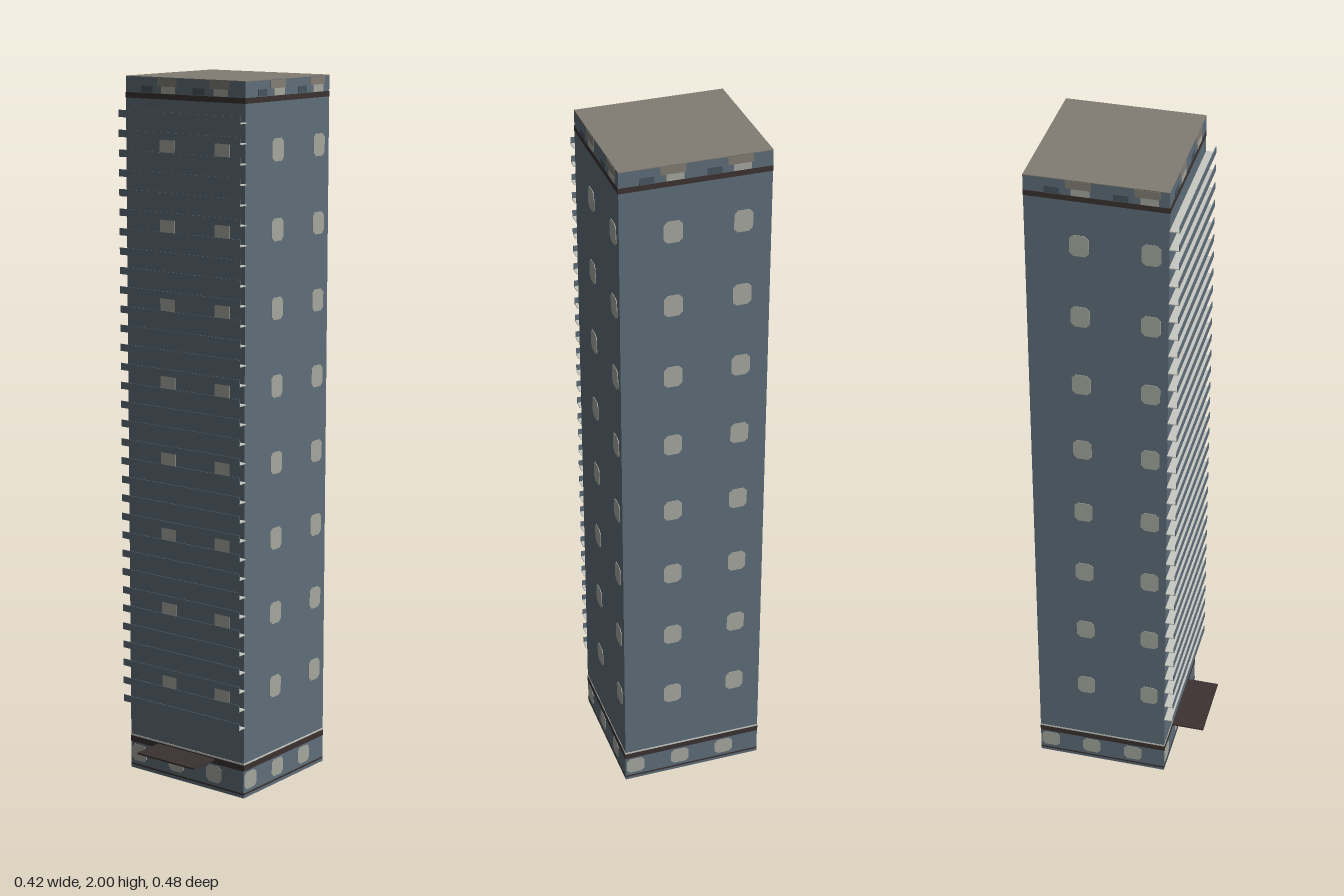
import * as THREE from 'three';

const paint = (name, color) => {
  const m = new THREE.MeshStandardMaterial({ color });
  m.name = name;
  return m;
};

export function createModel() {
  const blue = paint('wall blue', 0x5f6e79);
  const navy = paint('dark slate', 0x46545f);
  const glass = paint('pale window', 0xa5a79e);
  const stone = paint('roof stone', 0x827d73);
  const brown = paint('dark brown', 0x3b3231);
  const pale = paint('pale concrete', 0xc8c9c2);

  const W = 0.412, D = 0.382, GROUND = 0.1;
  const tower = new THREE.Group();
  tower.name = 'tower';
  tower.position.set(-0.001, 0, -0.048);

  const box = (parent, name, mat, w, h, d, x, y, z) => {
    const mesh = new THREE.Mesh(new THREE.BoxGeometry(w, h, d), mat);
    mesh.name = name;
    mesh.position.set(x, y, z);
    parent.add(mesh);
    return mesh;
  };

  // Thin window plate with clipped corners, centred on its own origin
  const windowPlate = (w, h, depth) => {
    const a = w / 2, b = h / 2, c = Math.min(w, h) * 0.2;
    const shape = new THREE.Shape([
      [-a + c, -b], [a - c, -b], [a, -b + c], [a, b - c],
      [a - c, b], [-a + c, b], [-a, b - c], [-a, -b + c],
    ].map(p => new THREE.Vector2(...p)));
    const g = new THREE.ExtrudeGeometry(shape, { depth, bevelEnabled: false });
    return g.translate(0, 0, -depth / 2);
  };
  const upperWindow = windowPlate(0.052, 0.062, 0.003);
  const groundWindow = windowPlate(0.055, 0.05, 0.007);
  const addWindow = (parent, name, geo, x, y, z) => {
    const mesh = new THREE.Mesh(geo, glass);
    mesh.name = name;
    mesh.position.set(x, y, z);
    parent.add(mesh);
  };

  // Shaft and roof
  box(tower, 'shaft', blue, W, 1.998 - GROUND, D, 0, (1.998 + GROUND) / 2, 0);
  box(tower, 'roof', stone, W, 0.002, D, 0, 1.999, 0);

  // Four facades, each built facing +z and turned into place
  ['front', 'right', 'back', 'left'].forEach((label, i) => {
    const width = i % 2 ? D : W, off = (i % 2 ? W : D) / 2;
    const side = new THREE.Group();
    side.name = label + 'Facade';
    side.rotation.y = i * Math.PI / 2;
    tower.add(side);

    // Open-bottomed ground floor with its trim bands
    box(side, 'groundWall', blue, width, GROUND, 0.005, 0, GROUND / 2, off - 0.0025);
    box(side, 'groundBand', brown, width, 0.018, 0.007, 0, 0.089, off - 0.0025);
    box(side, 'groundLedge', pale, width, 0.005, 0.002, 0, 0.1005, off);
    box(side, 'baseLine', brown, width, 0.005, 0.007, 0, 0.012, off - 0.0025);
    for (let k = 0; k < 3; k++)
      addWindow(side, 'groundWindow', groundWindow,
        -width / 2 + 0.031 + k * width / 3, 0.049, off - 0.0025);

    // Upper windows, one pair every four floors
    for (let row = 0; row < 8; row++)
      for (const u of [0.145, 0.335])
        addWindow(side, 'window', upperWindow, u - width / 2, 0.295 + row * 0.2165, off);

    // Crown: dark band with a patchwork of panels above it
    box(side, 'crownBand', brown, width, 0.015, 0.002, 0, 1.948, off);
    for (const u of [0.145, 0.325]) {
      const x = u - width / 2;
      box(side, 'crownPanel', stone, 0.068, 0.022, 0.002, x, 1.986, off);
      box(side, 'crownWindow', glass, 0.048, 0.02, 0.002, x + 0.005, 1.966, off);
      box(side, 'crownShade', navy, 0.04, 0.018, 0.002, x - 0.07, 1.966, off);
    }
  });

  // Front balconies: thin slab with an upright parapet
  for (let floor = 0; floor < 32; floor++) {
    const balcony = new THREE.Group();
    balcony.name = 'balcony';
    balcony.position.set(0, 0.21 + floor * 0.0542, D / 2);
    tower.add(balcony);
    box(balcony, 'balconySlab', pale, 0.42, 0.003, 0.027, 0, 0, 0.0135);
    box(balcony, 'balconyParapet', blue, 0.42, 0.02, 0.002, 0, 0.0085, 0.0265);
  }

  // Entrance canopy
  box(tower, 'canopy', brown, 0.206, 0.005, 0.096, 0, 0.092, D / 2 + 0.048);

  const model = new THREE.Group();
  model.name = 'highRise';
  model.add(tower);
  return model;
}
